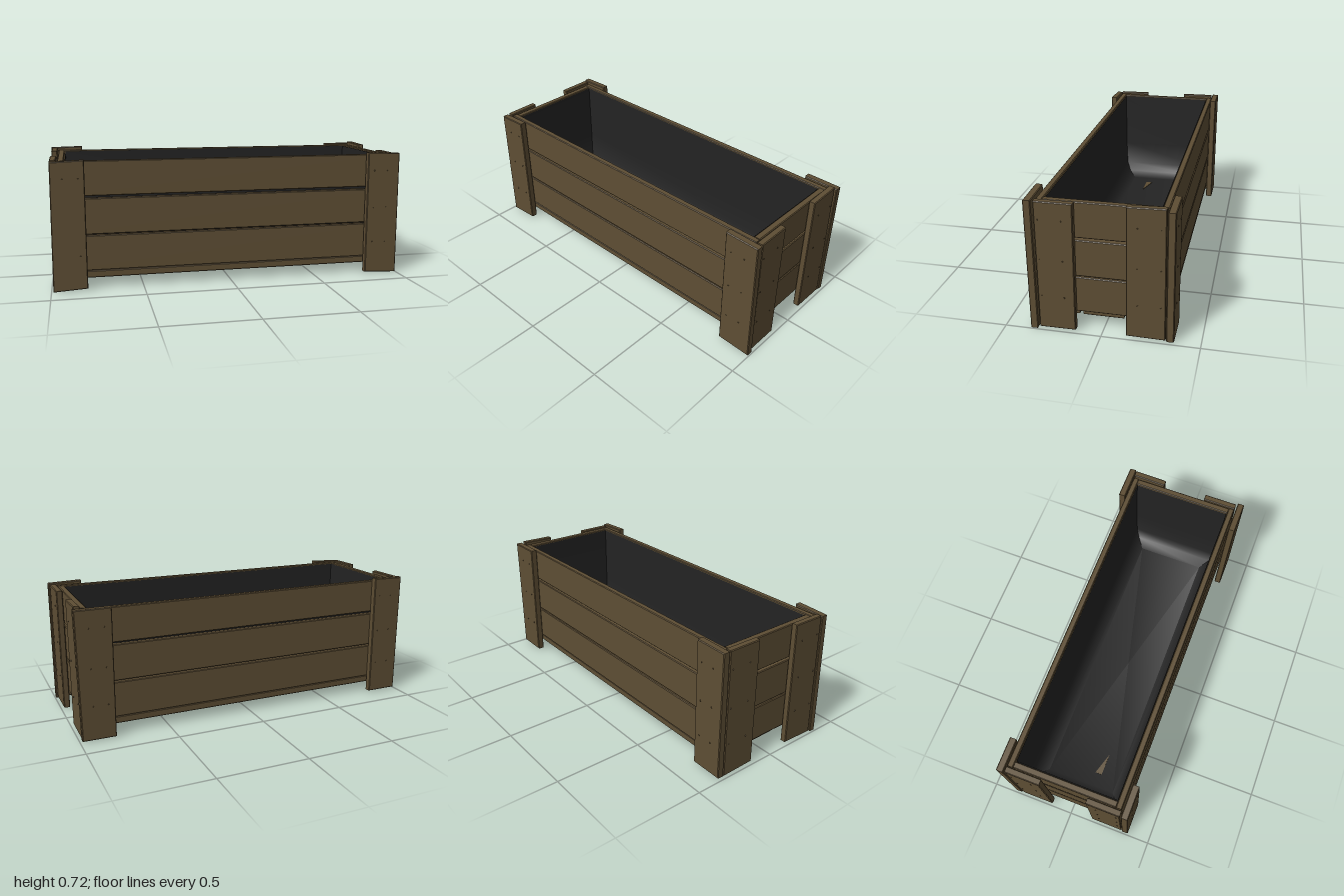
import * as THREE from 'three';
import { toCreasedNormals } from 'three/addons/utils/BufferGeometryUtils.js';

export function createModel() {
  const model = new THREE.Group();
  model.name = 'planterBox';
  const wood = new THREE.MeshStandardMaterial({ color: 0x5e4e34 });
  wood.name = 'weathered wood';
  const black = new THREE.MeshStandardMaterial({ color: 0x232323, side: THREE.DoubleSide });
  black.name = 'black liner';

  let seed = 7;
  const jitter = (a) => {
    seed = (seed * 16807) % 2147483647;
    return (seed / 2147483647 - 0.5) * 2 * a;
  };

  const add = (parent, name, geo, mat) => {
    const mesh = new THREE.Mesh(geo, mat);
    mesh.name = name;
    parent.add(mesh);
    return mesh;
  };

  // Bevelled board spanning lo..hi; its corners are nudged for a rough-sawn look
  function board(parent, name, lo, hi, rough = 0.003) {
    const size = hi.map((v, i) => v - lo[i]);
    const thin = size.indexOf(Math.min(...size));
    const [u, v] = [0, 1, 2].filter((i) => i !== thin);
    const b = 0.004;
    const nudges = Array.from({ length: 4 }, () => [jitter(rough), jitter(rough)]);
    const corners = [[lo[u], lo[v]], [hi[u], lo[v]], [hi[u], hi[v]], [lo[u], hi[v]]];
    const shape = new THREE.Shape(corners.map(([p, q], i) => new THREE.Vector2(
      p + nudges[i][0] + (p === lo[u] ? b : -b),
      q + nudges[i][1] + (q === lo[v] ? b : -b))));
    const geo = new THREE.ExtrudeGeometry(shape, {
      depth: size[thin] - 2 * b, bevelEnabled: true, bevelThickness: b, bevelSize: b, bevelSegments: 1,
    });
    geo.translate(0, 0, lo[thin] + b);
    // Cyclic axis swaps keep the face winding
    const X = new THREE.Vector3(1, 0, 0), Y = new THREE.Vector3(0, 1, 0), Z = new THREE.Vector3(0, 0, 1);
    if (thin === 0) geo.applyMatrix4(new THREE.Matrix4().makeBasis(Y, Z, X));
    if (thin === 1) {
      // (u, v, depth) = (x, z, y): mirrored basis, so mirror the shape first
      geo.applyMatrix4(new THREE.Matrix4().makeRotationX(Math.PI / 2));
      geo.translate(0, lo[1] + hi[1], 0);
    }
    return add(parent, name, geo, wood);
  }

  // Three slats on each wall
  const rows = [[0.1, 0.296], [0.304, 0.502], [0.515, 0.705]];
  const walls = new THREE.Group();
  walls.name = 'wallSlats';
  model.add(walls);
  for (const [y0, y1] of rows) {
    board(walls, 'frontSlat', [-0.945, y0, 0.286], [0.945, y1, 0.319], 0.002);
    board(walls, 'backSlat', [-0.945, y0, -0.325], [0.945, y1, -0.292], 0.002);
    for (const s of [-1, 1]) {
      const x = [s * 0.91, s * 0.945].sort((a, b) => a - b);
      board(walls, 'endSlat', [x[0], y0, -0.291], [x[1], y1, 0.285], 0.001);
    }
  }

  // Floor planks
  const floor = new THREE.Group();
  floor.name = 'floor';
  model.add(floor);
  for (const [z0, z1] of [[-0.322, -0.118], [-0.1, 0.113], [0.128, 0.316]])
    board(floor, 'floorPlank', [-0.91, 0.06, z0], [0.91, 0.099, z1], 0.002);

  // Corner posts: one board on the long face, one on the end, with small nails
  const nailGeo = new THREE.CylinderGeometry(0.004, 0.005, 0.004, 3);
  for (const sx of [-1, 1]) for (const sz of [-1, 1]) {
    const post = new THREE.Group();
    post.name = (sz > 0 ? 'front' : 'back') + (sx > 0 ? 'Left' : 'Right') + 'Post';
    model.add(post);
    const span = (a, b, s) => (s > 0 ? [a, b] : [-b, -a]);
    let [x0, x1] = span(0.8, 0.99, sx), [z0, z1] = span(0.328, 0.367, sz);
    const top = sx * sz > 0 ? 0.718 : 0.712;
    board(post, 'longSideBoard', [x0, 0.008, z0], [x1, top, z1], 0.006);
    [x0, x1] = span(0.95, 0.985, sx);
    [z0, z1] = span(0.129, 0.322, sz);
    board(post, 'endBoard', [x0, 0.008, z0], [x1, sz > 0 ? 0.71 : 0.722, z1], 0.005);
    for (const y of [0.195, 0.4, 0.615]) for (const k of [0, 1]) {
      const a = add(post, 'nail', nailGeo, wood);
      a.rotation.x = sz * Math.PI / 2;
      a.position.set(sx * (0.84 + 0.08 * k), y, sz * 0.368);
      const b = add(post, 'nail', nailGeo, wood);
      b.rotation.z = -sx * Math.PI / 2;
      b.position.set(sx * 0.986, y, sz * (0.185 + 0.115 * k));
    }
  }

  // Liner: open tub with a rounded-in bottom, as rectangular rings [y, halfX, halfZ]
  const rings = [[0.698, 0.905, 0.285], [0.35, 0.903, 0.283], [0.2, 0.895, 0.275],
    [0.145, 0.865, 0.25], [0.115, 0.81, 0.205], [0.108, 0, 0]];
  const tub = new THREE.LatheGeometry(rings.map(([y]) => new THREE.Vector2(1, y)), 4, Math.PI / 4);
  const pos = tub.attributes.position;
  for (let i = 0; i < pos.count; i++) {
    const [y, hx, hz] = rings[i % rings.length];
    pos.setXYZ(i, Math.sign(pos.getX(i)) * hx, y, Math.sign(pos.getZ(i)) * hz - 0.003);
  }
  add(model, 'liner', toCreasedNormals(tub, 0.75), black);

  // Sliver of floor wood showing through the liner
  const sliver = new THREE.Shape([[-0.73, -0.1], [-0.6, -0.1], [-0.73, -0.06]]
    .map(([x, y]) => new THREE.Vector2(x, y)));
  const sliverGeo = new THREE.ExtrudeGeometry(sliver, { depth: 0.008, bevelEnabled: false });
  sliverGeo.rotateX(-Math.PI / 2).translate(0, 0.109, 0);
  add(model, 'woodSliver', sliverGeo, wood);

  return model;
}
